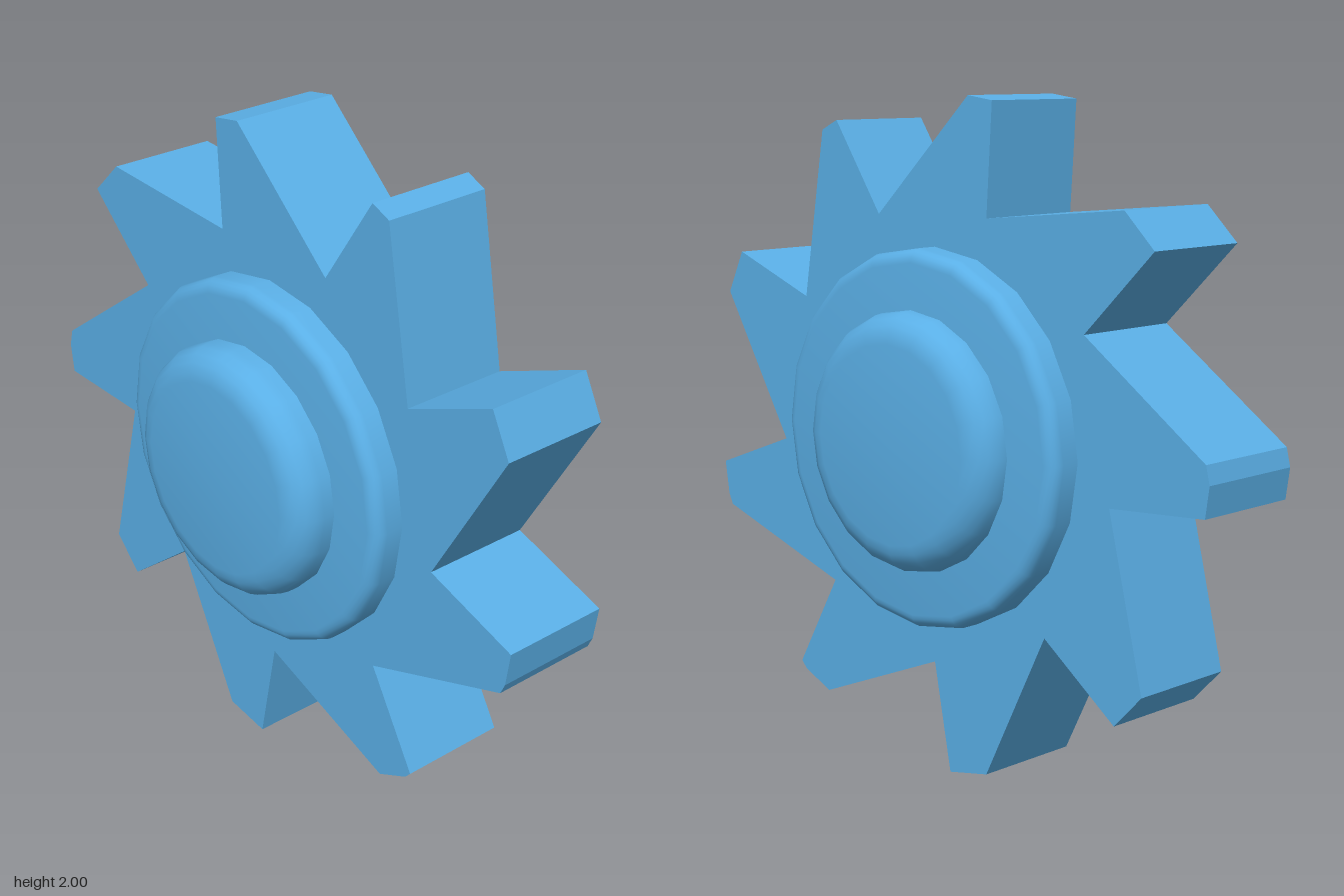
import * as THREE from 'three';
import { toCreasedNormals } from 'three/addons/utils/BufferGeometryUtils.js';

const SIDES = 20;

export function createModel() {
  const group = new THREE.Group();
  group.name = 'sawToothGear';
  const material = new THREE.MeshStandardMaterial({ color: 0x5aafe6 });

  const add = (name, geometry) => {
    const mesh = new THREE.Mesh(geometry, material);
    mesh.name = name;
    group.add(mesh);
    return mesh;
  };

  // Toothed wheel: irregular hand-cut teeth, clockwise from the top one;
  // each row is one tooth tip followed by the valley after it
  const teeth = [
    [[-0.214, 1.987], [-0.12, 2], [0.25, 1.65]],
    [[0.433, 1.92], [0.497, 1.89], [0.583, 1.38]],
    [[0.893, 1.497], [0.957, 1.366], [0.69, 0.92]],
    [[1, 0.805], [0.984, 0.70], [0.968, 0.666], [0.465, 0.50]],
    [[0.631, 0.206], [0.61, 0.184], [0.503, 0.134], [0.021, 0.329]],
    [[-0.043, 0], [-0.193, 0.029], [-0.422, 0.489]],
    [[-0.684, 0.291], [-0.781, 0.393], [-0.658, 0.901]],
    [[-0.987, 0.922], [-1, 1.013], [-0.987, 1.067], [-0.561, 1.366]],
    [[-0.805, 1.607], [-0.70, 1.708], [-0.193, 1.66]],
  ];
  const outline = new THREE.Shape(teeth.flat().map(([x, y]) => new THREE.Vector2(x, y)));
  const wheel = new THREE.ExtrudeGeometry(outline, { depth: 0.35, bevelEnabled: false });
  wheel.translate(0, 0, -0.19);
  add('toothedWheel', wheel);

  // Round disc along z with rounded rims at both ends
  const roundedDisc = (radius, back, front, rim) => {
    const points = [new THREE.Vector2(0, back)];
    const corner = (z, from) => {
      for (let i = 0; i <= 5; i++) {
        const a = from + (i / 5) * Math.PI / 2;
        points.push(new THREE.Vector2(radius - rim + rim * Math.cos(a), z + rim * Math.sin(a)));
      }
    };
    corner(back + rim, -Math.PI / 2);
    corner(front - rim, 0);
    points.push(new THREE.Vector2(0, front));
    const disc = new THREE.LatheGeometry(points, SIDES);
    disc.rotateX(Math.PI / 2);
    disc.translate(0.015, 1.01, 0);
    return toCreasedNormals(disc, Math.PI / 5);
  };

  // Wide collar and the narrower hub cap running through it
  add('collar', roundedDisc(0.558, -0.287, 0.255, 0.04));
  add('hubCap', roundedDisc(0.383, -0.38, 0.38, 0.09));

  return group;
}
